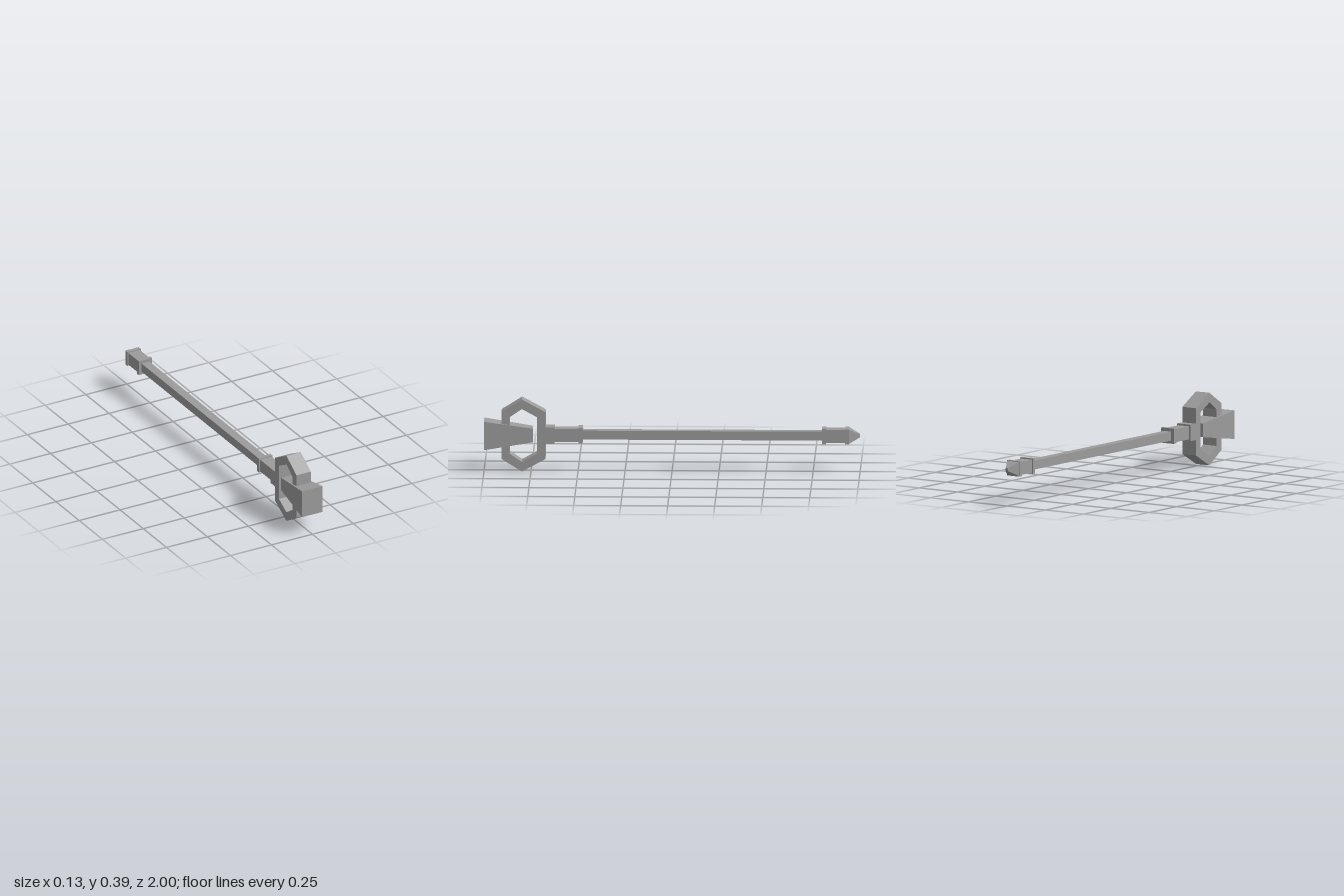
import * as THREE from 'three';

const AXIS_Y = 0.195; // height of the shaft's centre line

export function createModel() {
  const group = new THREE.Group();
  const material = new THREE.MeshStandardMaterial({ color: 0x9c9c9c, flatShading: true });

  function add(name, geometry) {
    const mesh = new THREE.Mesh(geometry, material);
    mesh.name = name;
    mesh.position.y = AXIS_Y;
    group.add(mesh);
  }

  // Four-sided block along z, tapering from half-size (bx, by) at z0 to (fx, fy) at z1
  function block(name, z0, z1, bx, by = bx, fx = bx, fy = by) {
    const geometry = new THREE.BoxGeometry(2, 2, 1);
    const p = geometry.attributes.position;
    for (let i = 0; i < p.count; i++) {
      const front = p.getZ(i) > 0;
      p.setXYZ(i, p.getX(i) * (front ? fx : bx), p.getY(i) * (front ? fy : by), front ? z1 : z0);
    }
    geometry.computeVertexNormals();
    add(name, geometry);
  }

  // Shaft and rear grip end
  block('shaft', -0.81, 0.49, 0.024);
  block('pommelTip', -1, -0.943, 0.008, 0.008, 0.038, 0.038);
  block('pommelRearBand', -0.943, -0.921, 0.041);
  block('pommelSleeve', -0.921, -0.82, 0.035);
  block('pommelFrontBand', -0.82, -0.798, 0.041);

  // Socket joining the shaft to the head
  block('socketBand', 0.475, 0.498, 0.041);
  block('socketSleeve', 0.498, 0.625, 0.035);
  block('socketCollar', 0.625, 0.675, 0.044);

  // Flared striking head
  block('hammerHead', 0.74, 1, 0.043, 0.037, 0.063, 0.077);

  // Hexagonal ring, drawn counter-clockwise in the z-y plane and extruded across x
  const hexagon = (halfZ, sideY, topY) => [
    [halfZ, -sideY], [halfZ, sideY], [0, topY],
    [-halfZ, sideY], [-halfZ, -sideY], [0, -topY],
  ].map(([z, y]) => new THREE.Vector2(0.79 + (z === 0 ? 0.008 : z), y));
  const ring = new THREE.Shape(hexagon(0.117, 0.127, 0.195));
  ring.holes.push(new THREE.Path(hexagon(0.073, 0.099, 0.143)));
  const ringGeometry = new THREE.ExtrudeGeometry(ring, { depth: 0.088, bevelEnabled: false });
  ringGeometry.translate(0, 0, -0.044).rotateY(-Math.PI / 2);
  add('headRing', ringGeometry);

  return group;
}
